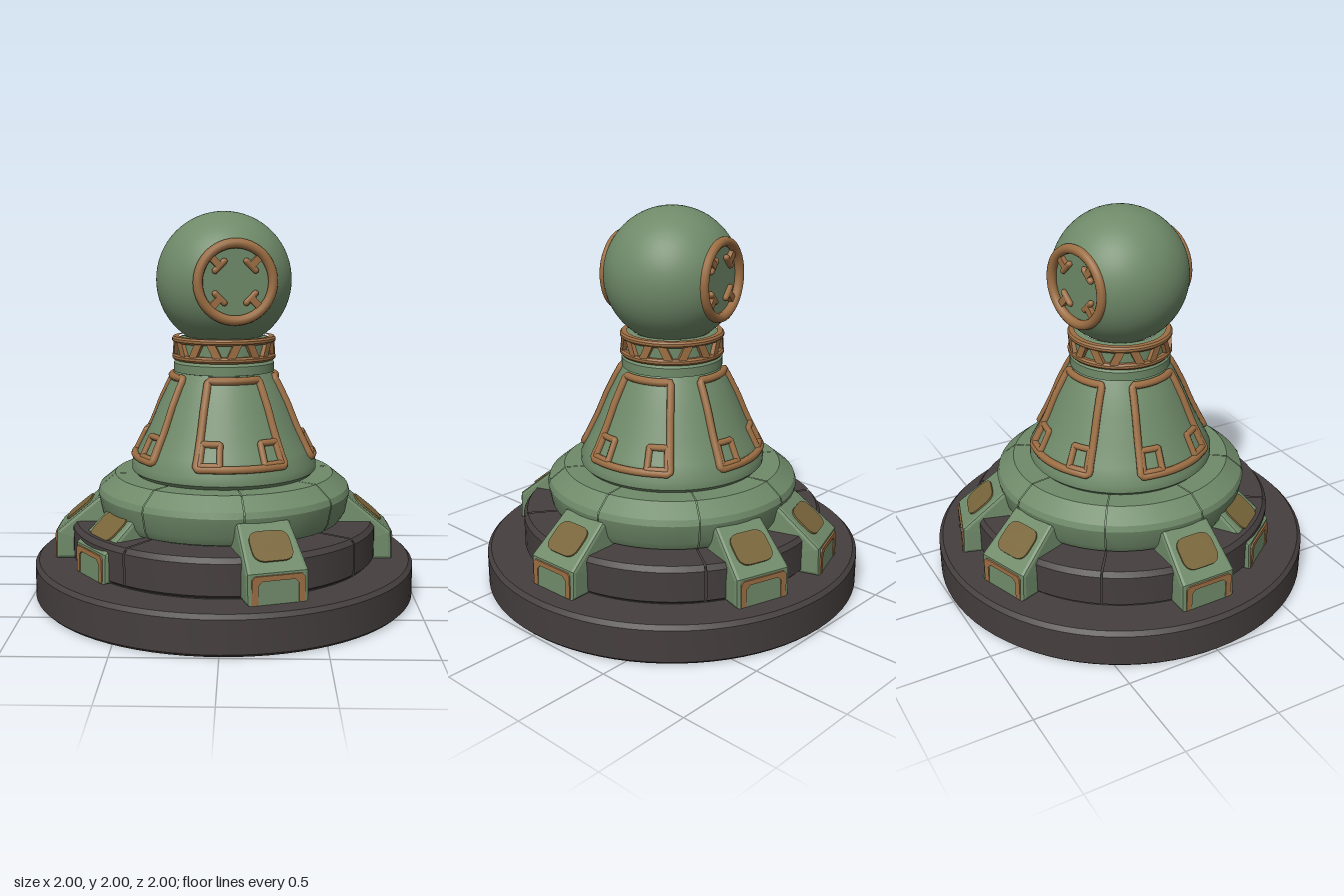
import * as THREE from 'three';
import { toCreasedNormals } from 'three/addons/utils/BufferGeometryUtils.js';

const mat = (name, color) => {
  const m = new THREE.MeshStandardMaterial({ color });
  m.name = name;
  return m;
};
const V2 = (x, y) => new THREE.Vector2(x, y);
const RAD = Math.PI / 180;
const TURN = 13 * RAD; // the upper half is turned slightly about the vertical axis

export function createModel() {
  const green = mat('weathered green', 0x6f8a69);
  const dark = mat('dark stone', 0x453e3e);
  const bronze = mat('bronze', 0x9c6e43);
  const olive = mat('tarnished brown', 0x78653a);
  const root = new THREE.Group();
  root.name = 'pawn';

  const add = (parent, name, geo, material) => {
    const m = new THREE.Mesh(geo, material);
    m.name = name;
    parent.add(m);
    return m;
  };
  const group = (parent, name) => {
    const g = new THREE.Group();
    g.name = name;
    parent.add(g);
    return g;
  };
  const lathe = (pts, seg = 64, start = 0, length = Math.PI * 2) =>
    toCreasedNormals(new THREE.LatheGeometry(pts.map(p => V2(...p)), seg, start, length), 0.5);

  // Point on a surface of revolution
  const polar = (r, a, y) => new THREE.Vector3(r * Math.sin(a), y, r * Math.cos(a));

  // Base disc
  add(root, 'baseDisc', lathe([[0, 0], [0.985, 0], [1, 0.015], [1, 0.18], [0.98, 0.2], [0, 0.2]], 80), dark);

  // Stone step and green ring, each in eight segments over a narrower core
  add(root, 'stepCore', lathe([[0.78, 0.2], [0.78, 0.385], [0, 0.385]]), dark);
  add(root, 'ringCore', lathe([[0.58, 0.38], [0.63, 0.45], [0.65, 0.56], [0.56, 0.635], [0, 0.635]]), green);
  const step = group(root, 'stepBlocks'), ring = group(root, 'ringSegments');
  const span = Math.PI / 4;
  for (let i = 0; i < 8; i++) {
    const a = -35 * RAD + i * span;
    add(step, 'stepBlock', lathe([[0.78, 0.205], [0.8, 0.22], [0.8, 0.375], [0.78, 0.4], [0.55, 0.4]],
      8, a, span - 0.012), dark);
    add(ring, 'ringSegment', lathe([[0.58, 0.4], [0.62, 0.41], [0.645, 0.45], [0.665, 0.55], [0.655, 0.58],
      [0.575, 0.645], [0.44, 0.645]], 8, a, span - 0.008), green);
  }

  // Feet: sloping buttress with a brown patch and a bronze arch
  const profile = new THREE.Shape([V2(0.5, 0.2), V2(0.885, 0.2), V2(0.88, 0.35), V2(0.66, 0.53), V2(0.5, 0.53)]);
  const footGeo = new THREE.ExtrudeGeometry(profile, {
    depth: 0.27, bevelEnabled: true, bevelThickness: 0.018, bevelSize: 0.018, bevelOffset: -0.018, bevelSegments: 2
  });
  footGeo.translate(0, 0, -0.135);
  const fp = footGeo.attributes.position;
  for (let i = 0; i < fp.count; i++) {
    fp.setZ(i, fp.getZ(i) * (1 - 0.7 * Math.max(0, fp.getY(i) - 0.36)));
  }
  footGeo.computeVertexNormals();

  const rounded = (w, h, r) => {
    const s = new THREE.Shape(), x = w / 2, y = h / 2;
    s.moveTo(-x + r, -y).lineTo(x - r, -y).quadraticCurveTo(x, -y, x, -y + r);
    s.lineTo(x, y - r).quadraticCurveTo(x, y, x - r, y);
    s.lineTo(-x + r, y).quadraticCurveTo(-x, y, -x, y - r);
    s.lineTo(-x, -y + r).quadraticCurveTo(-x, -y, -x + r, -y);
    return s;
  };
  const plate = s => new THREE.ExtrudeGeometry(s, { depth: 0.009, bevelEnabled: false, curveSegments: 6 });
  // Stand a plate on a foot, facing along n in the radial plane
  const face = (geo, nx, ny, px, py) => geo.applyMatrix4(new THREE.Matrix4().makeBasis(
    new THREE.Vector3(0, 0, -1), new THREE.Vector3(-ny, nx, 0), new THREE.Vector3(nx, ny, 0)).setPosition(px, py, 0));
  const slope = V2(0.18, 0.22).normalize();
  const patchGeo = face(plate(rounded(0.2, 0.17, 0.06)), slope.x, slope.y, 0.769, 0.441);
  const arch = new THREE.Shape([V2(-0.13, 0), V2(-0.1, 0), V2(-0.1, 0.09), V2(-0.08, 0.11), V2(0.08, 0.11),
    V2(0.1, 0.09), V2(0.1, 0), V2(0.13, 0), V2(0.13, 0.12), V2(0.115, 0.135), V2(-0.115, 0.135), V2(-0.13, 0.12)]);
  const archGeo = face(plate(arch), 1, 0, 0.88, 0.204);

  [[18, 0], [91, 0], [163, 0], [199, 0], [271, 0], [306, -0.07]].forEach(([deg, shift]) => {
    const foot = group(root, 'foot');
    foot.rotation.y = (deg - 90) * RAD;
    foot.position.copy(polar(shift - 0.005, deg * RAD, 0));
    add(foot, 'footBlock', footGeo, green);
    add(foot, 'footPatch', patchGeo, olive);
    add(foot, 'footArch', archGeo, bronze);
  });

  // Flared body
  const body = [[0.46, 0.64], [0.485, 0.665], [0.485, 0.705], [0.445, 0.78], [0.385, 0.9],
    [0.335, 1.02], [0.285, 1.12], [0.25, 1.18]];
  add(root, 'body', lathe(body), green);
  add(root, 'bodyFlange', lathe([[0.24, 1.175], [0.262, 1.18], [0.262, 1.225], [0.24, 1.245]]), green);
  const bodyRadius = y => {
    let i = 1;
    while (i < body.length - 1 && body[i][1] < y) i++;
    const [r0, y0] = body[i - 1], [r1, y1] = body[i];
    return r0 + (r1 - r0) * (y - y0) / (y1 - y0);
  };

  // Rectangular bronze loop wrapped on the body
  const loop = (a0, a1, y0, y1, tube) => {
    const corners = [[a0, y0], [a1, y0], [a1, y1], [a0, y1]];
    const pts = [], n = 10;
    corners.forEach(([a, y], k) => {
      const [b, z] = corners[(k + 1) % 4];
      for (let i = 0; i < n; i++) {
        const t = (i + 0.15) / (n - 0.7), yy = y + (z - y) * t;
        pts.push(polar(bodyRadius(yy) + 0.006, a + (b - a) * t, yy));
      }
    });
    return new THREE.TubeGeometry(new THREE.CatmullRomCurve3(pts, true), 120, tube, 8, true);
  };
  const frameGeo = loop(-0.5, 0.5, 0.745, 1.155, 0.02);
  const squareGeos = [loop(0.25, 0.47, 0.76, 0.86, 0.017), loop(-0.47, -0.25, 0.76, 0.86, 0.017)];
  for (let i = 0; i < 4; i++) {
    const panel = group(root, 'bodyPanel');
    panel.rotation.y = TURN + i * Math.PI / 2;
    add(panel, 'panelFrame', frameGeo, bronze);
    squareGeos.forEach(g => add(panel, 'panelCornerSquare', g, bronze));
  }

  // Collar: green core, two bronze rims and zigzag struts
  const collar = group(root, 'collar');
  add(collar, 'collarCore', lathe([[0.245, 1.24], [0.245, 1.35], [0.2, 1.36]]), green);
  [1.24, 1.33].forEach(y => add(collar, 'collarRim', lathe([[0.235, y], [0.262, y], [0.27, y + 0.01],
    [0.27, y + 0.022], [0.262, y + 0.032], [0.235, y + 0.032]]), bronze));
  for (let i = 0; i < 16; i++) {
    const a = TURN + i * Math.PI / 8;
    const strut = add(collar, 'collarStrut', new THREE.BoxGeometry(0.04, 0.09, 0.03), bronze);
    strut.position.copy(polar(0.25, a, 1.301));
    strut.rotation.set(0, a, i % 2 ? 0.45 : -0.45, 'YXZ');
  }

  // Head: ball with a flat cut at front and back, each carrying a medallion
  const head = group(root, 'head');
  head.position.y = 1.65;
  head.rotation.y = TURN;
  const ballPts = [], cut = Math.acos(0.28 / 0.35);
  for (let i = 0; i <= 32; i++) {
    const t = Math.PI - cut - (Math.PI - 2 * cut) * i / 32;
    ballPts.push(V2(0.35 * Math.sin(t), 0.35 * Math.cos(t)));
  }
  add(head, 'ball', new THREE.LatheGeometry(ballPts, 64).rotateX(Math.PI / 2), green);
  for (let side = 0; side < 2; side++) {
    const medal = group(head, 'medallion');
    medal.rotation.y = side * Math.PI;
    add(medal, 'medallionDish', new THREE.CircleGeometry(0.207, 48), green).position.z = 0.27;
    add(medal, 'medallionRing', new THREE.TorusGeometry(0.19, 0.025, 10, 48), bronze).position.z = 0.287;
    for (let i = 0; i < 4; i++) {
      const hook = group(medal, 'medallionHook');
      hook.rotation.z = Math.PI / 4 + i * Math.PI / 2;
      hook.position.z = 0.28;
      add(hook, 'hookStem', new THREE.BoxGeometry(0.07, 0.035, 0.03), bronze).position.x = 0.145;
      add(hook, 'hookBar', new THREE.CapsuleGeometry(0.016, 0.065, 4, 8), bronze).position.x = 0.112;
    }
  }
  return root;
}
